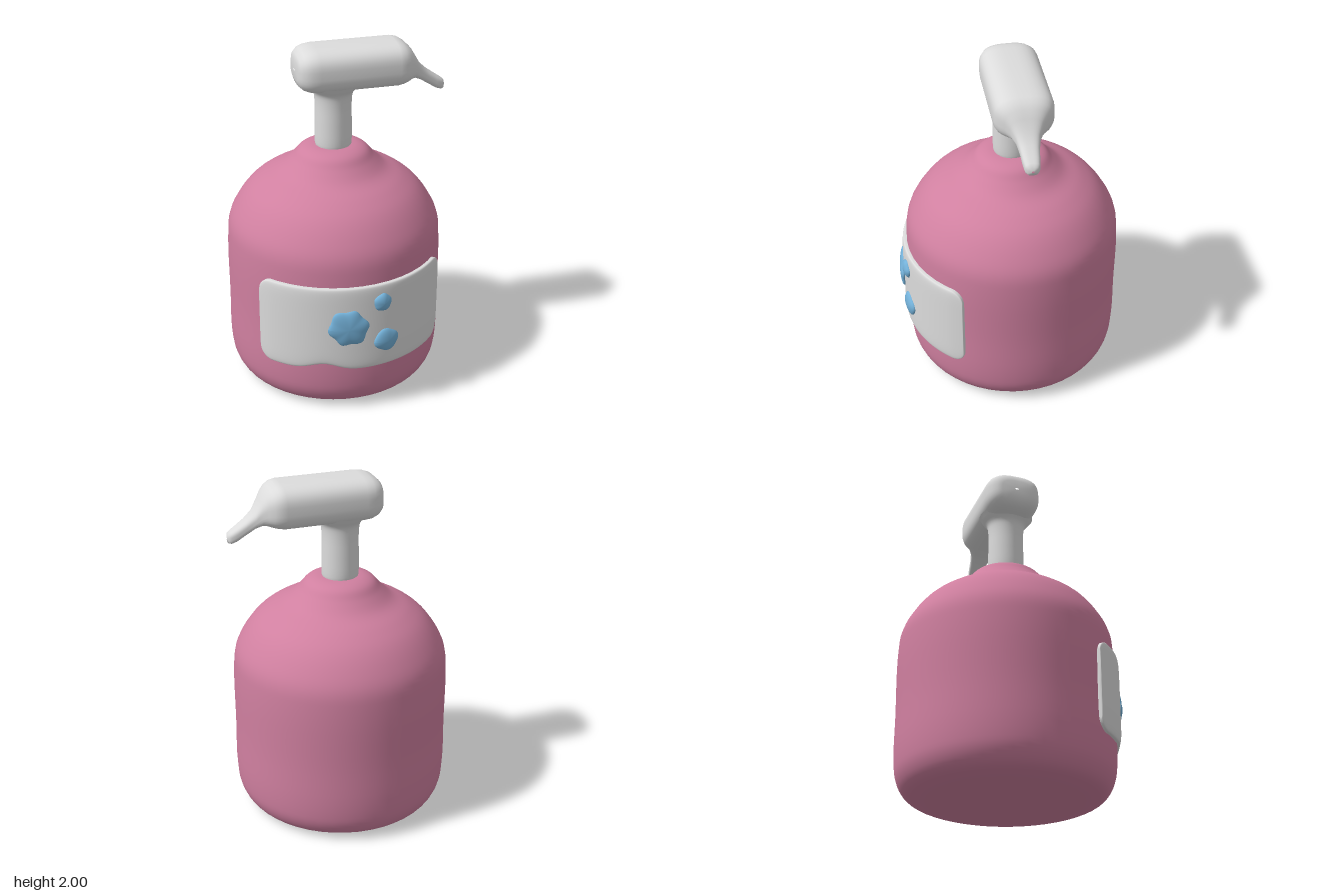
import * as THREE from 'three';

const CX = -0.016, CZ = -0.027; // vertical axis of the bottle

// Joins superellipse rings: each section is { s, cy, hy, cz, hz }, mapped to space by place(s, y, z)
function loft(sections, power, sides, place) {
  const pos = [], index = [];
  const bend = (v) => Math.sign(v) * Math.abs(v) ** (2 / power);
  for (const { s, cy, hy, cz, hz } of sections) {
    for (let j = 0; j < sides; j++) {
      const t = ((j + 0.5) / sides) * Math.PI * 2;
      pos.push(...place(s, cy + hy * bend(Math.sin(t)), cz + hz * bend(Math.cos(t))));
    }
  }
  for (let i = 0; i < sections.length - 1; i++) {
    for (let j = 0; j < sides; j++) {
      const k = (j + 1) % sides;
      const a = i * sides + j, b = a + sides, c = b - j + k, d = a - j + k;
      index.push(a, b, c, a, c, d);
    }
  }
  const geo = new THREE.BufferGeometry();
  geo.setAttribute('position', new THREE.Float32BufferAttribute(pos, 3));
  geo.setIndex(index);
  geo.computeVertexNormals();
  return geo;
}

// Smooth turned solid; the first and last points are kept exactly
function turned(points, steps, sides) {
  const curve = new THREE.CatmullRomCurve3(points.map(([r, y]) => new THREE.Vector3(r, y, 0)), false, 'centripetal');
  const profile = curve.getPoints(steps).map((p) => new THREE.Vector2(Math.max(p.x, 0), p.y));
  return new THREE.LatheGeometry(profile, sides);
}

export function createModel() {
  const pink = new THREE.MeshStandardMaterial({ color: 0xd080a0 });
  pink.name = 'pink';
  const white = new THREE.MeshStandardMaterial({ color: 0xdcdcdc });
  white.name = 'off white';
  const blue = new THREE.MeshStandardMaterial({ color: 0x74b2da });
  blue.name = 'blue';

  const group = new THREE.Group();
  group.name = 'soapDispenser';
  const add = (name, geo, mat, x = 0, y = 0, z = 0) => {
    const mesh = new THREE.Mesh(geo, mat);
    mesh.name = name;
    mesh.position.set(x, y, z);
    group.add(mesh);
    return mesh;
  };

  // Bottle: rounded foot, straight wall, domed shoulder and short neck
  add('bottle', turned([
    [0, 0.005], [0.3, 0.005], [0.47, 0.01], [0.555, 0.04], [0.6, 0.11], [0.617, 0.22], [0.617, 0.5],
    [0.617, 0.84], [0.603, 0.97], [0.555, 1.07], [0.485, 1.16], [0.4, 1.225], [0.3, 1.28],
    [0.235, 1.34], [0.19, 1.39], [0.13, 1.413], [0, 1.415],
  ], 80, 48), pink, CX, 0, CZ);

  // Pump stem, flaring into the head
  add('stem', turned([
    [0.1, 1.4], [0.105, 1.43], [0.105, 1.55], [0.105, 1.68], [0.113, 1.73], [0.14, 1.765], [0.16, 1.79],
  ], 24, 32), white, CX, 0, CZ);

  // Pump head running into the drooping nozzle: x, bottom, top, half width
  const head = [
    [-0.236, 1.87, 1.88, 0.01], [-0.235, 1.82, 1.93, 0.09], [-0.225, 1.79, 1.96, 0.12],
    [-0.2, 1.768, 1.983, 0.145], [-0.165, 1.755, 1.995, 0.16], [-0.12, 1.75, 2, 0.164],
    [0.1, 1.75, 2, 0.164], [0.33, 1.75, 2, 0.164], [0.365, 1.756, 1.993, 0.158], [0.395, 1.765, 1.975, 0.142],
    [0.42, 1.772, 1.95, 0.115], [0.445, 1.772, 1.91, 0.088], [0.48, 1.757, 1.85, 0.064],
    [0.53, 1.725, 1.805, 0.052], [0.58, 1.693, 1.77, 0.046], [0.61, 1.682, 1.75, 0.04],
    [0.625, 1.686, 1.738, 0.03], [0.631, 1.705, 1.715, 0.006],
  ];
  add('pumpHead', loft(
    head.map(([s, lo, hi, hz]) => ({ s, cy: (lo + hi) / 2, hy: (hi - lo) / 2, cz: -0.03, hz })),
    2.9, 36, (x, y, z) => [x, y, z]), white);

  // Label: thin plate wrapped round the bottle, with rounded ends and a wavy lower edge
  const rows = 56, reach = 0.965, label = [];
  for (let i = 0; i <= rows; i++) {
    const s = -reach * Math.cos((i / rows) * Math.PI);
    const toEnd = Math.max(0, (Math.abs(s) - (reach - 0.13)) / 0.13);
    const round = 0.075 * (1 - Math.sqrt(Math.max(0, 1 - toEnd ** 2)));
    const lo = 0.295 + 0.04 * Math.exp(-(((s + 0.34) / 0.17) ** 2)) + round;
    const hi = 0.82 - round;
    const closed = i === 0 || i === rows;
    label.push({
      s, cy: (lo + hi) / 2, hy: closed ? 0.001 : (hi - lo) / 2,
      cz: 0.62 + 0.008 * toEnd, hz: closed ? 0.001 : 0.025 - 0.013 * toEnd,
    });
  }
  add('label', loft(label, 6, 40, (s, y, r) => [r * Math.sin(s), y, r * Math.cos(s)]), white, CX, 0, CZ);

  // Blue spots on the label: flattened spheres with a lobed outline
  const spots = [
    ['largeSpot', -0.097, 0.575, 0.108, 0.113, 0.07, 6],
    ['upperSpot', 0.098, 0.712, 0.052, 0.055, 0.04, 5],
    ['lowerSpot', 0.124, 0.463, 0.073, 0.072, 0.05, 4],
  ];
  for (const [name, x, y, rx, ry, wave, lobes] of spots) {
    const geo = new THREE.SphereGeometry(1, 40, 20).rotateX(Math.PI / 2);
    const p = geo.attributes.position;
    for (let i = 0; i < p.count; i++) {
      const a = Math.atan2(p.getY(i), p.getX(i));
      const k = 1 + wave * Math.sin(lobes * a + 0.6) + wave * 0.6 * Math.cos(2 * a + 1);
      p.setXY(i, p.getX(i) * k * rx, p.getY(i) * k * ry);
      p.setZ(i, p.getZ(i) * 0.028);
    }
    geo.computeVertexNormals();
    const angle = Math.asin((x - CX) / 0.642);
    const spot = add(name, geo, blue, x, y, CZ + 0.642 * Math.cos(angle));
    spot.rotation.y = angle;
  }

  return group;
}
